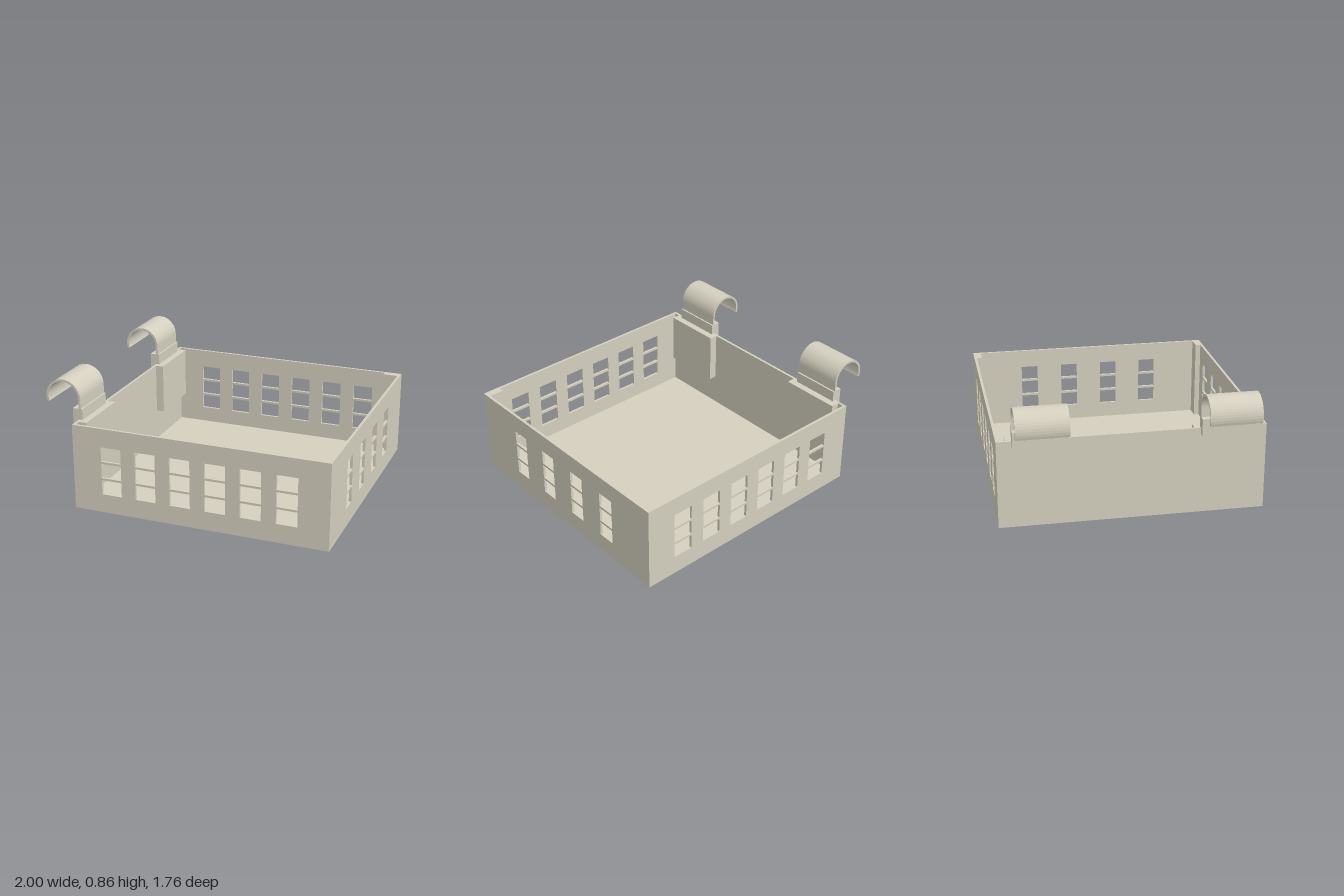
import * as THREE from 'three';

const X0 = -0.765, X1 = 1, Z = 0.88, H = 0.595, T = 0.018;
const material = new THREE.MeshStandardMaterial({ color: 0xd4cfbe, flatShading: true });

function add(parent, name, geometry) {
  const mesh = new THREE.Mesh(geometry, material);
  mesh.name = name;
  parent.add(mesh);
  return mesh;
}

// Box given by its lower and upper corners
function block(parent, name, [ax, ay, az], [bx, by, bz]) {
  const g = new THREE.BoxGeometry(bx - ax, by - ay, bz - az);
  g.translate((ax + bx) / 2, (ay + by) / 2, (az + bz) / 2);
  return add(parent, name, g);
}

function rect(Type, x, y, w, h) {
  return new Type([[x, y], [x + w, y], [x + w, y + h], [x, y + h]].map(p => new THREE.Vector2(...p)));
}

// Wall panel with three rows of window openings
function windowWall(from, to, first, pitch, width, columns) {
  const shape = rect(THREE.Shape, from, 0, to - from, H);
  for (let c = 0; c < columns; c++)
    for (let r = 0; r < 3; r++)
      shape.holes.push(rect(THREE.Path, first + c * pitch, 0.13 + r * 0.117, width, 0.102));
  return new THREE.ExtrudeGeometry(shape, { depth: T, bevelEnabled: false });
}

// Rail hook: straight stem running into an open ring
function hookGeometry(depth) {
  const cx = -0.875, cy = 0.735, end = Math.PI + 0.34, n = 24, R = 0.125, r = 0.11;
  const at = (rad, a) => new THREE.Vector2(cx + rad * Math.cos(a), cy + rad * Math.sin(a));
  const pts = [new THREE.Vector2(cx + r, 0.65), new THREE.Vector2(cx + R, 0.65)];
  for (let i = 0; i <= n; i++) pts.push(at(R, end * i / n));
  for (let i = n; i >= 0; i--) pts.push(at(r, end * i / n));
  return new THREE.ExtrudeGeometry(new THREE.Shape(pts), { depth, bevelEnabled: false });
}

export function createModel() {
  const model = new THREE.Group();
  model.name = 'hangingBasket';

  // Tray
  block(model, 'floor', [X0 + T, 0, -Z + T], [X1 - T, T, Z - T]);
  block(model, 'solidWall', [X0, 0, -Z + T], [X0 + T, H, Z - T]);
  const longWall = windowWall(X0, X1, -0.562, 0.242, 0.142, 6);
  add(model, 'frontWall', longWall).position.z = Z - T;
  add(model, 'backWall', longWall).position.z = -Z;
  const side = add(model, 'leftWall', windowWall(-Z + T, Z - T, -0.517, 0.304, 0.122, 4));
  side.rotation.y = -Math.PI / 2;
  side.position.x = X1;

  // Corner posts, reinforcing pads and hooks, mirrored front to back
  for (const s of [1, -1]) {
    const span = (a, b) => (s > 0 ? [a, b] : [-b, -a]);
    const [p0, p1] = span(0.825, Z - T);
    block(model, 'cornerPost', [0.88, T, p0], [X1 - T, H, p1]);

    const [r0, r1] = span(0.4, 0.82);
    block(model, 'reinforcingPad', [X0 + T, 0.24, r0], [-0.69, H, r1]);

    const hanger = new THREE.Group();
    hanger.name = 'hanger';
    const [h0, h1] = span(0.44, 0.78);
    block(hanger, 'hangerBlock', [-0.807, 0.555, h0], [-0.738, 0.67, h1]);
    add(hanger, 'hook', hookGeometry(h1 - h0)).position.z = h0;
    model.add(hanger);
  }
  return model;
}
